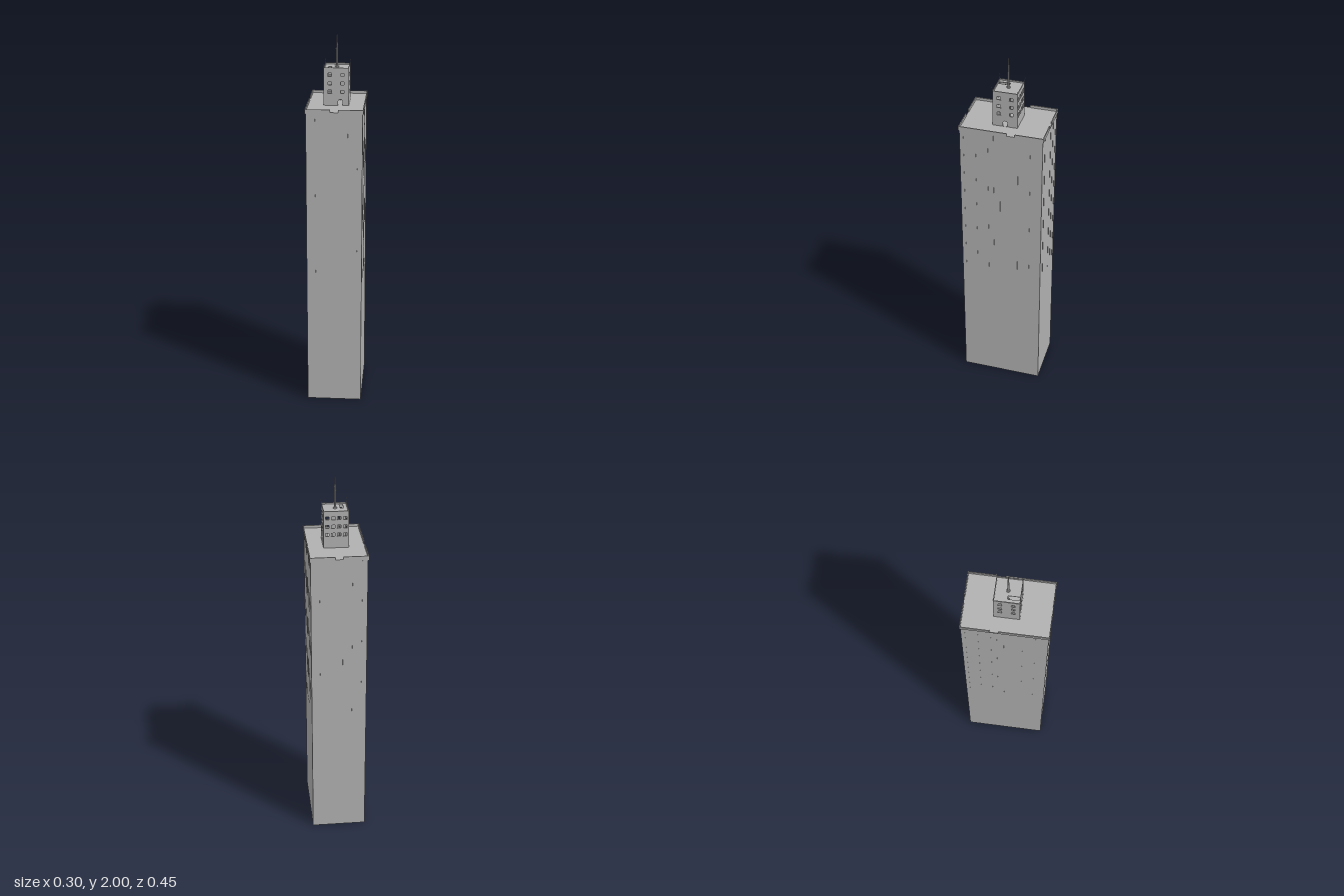
import * as THREE from 'three';

export function createModel() {
  const model = new THREE.Group();
  const concrete = new THREE.MeshStandardMaterial({ color: 0xb0b0b0, side: THREE.DoubleSide });
  concrete.name = 'concreteGrey';

  const add = (name, geometry, parent = model) => {
    const mesh = new THREE.Mesh(geometry, concrete);
    mesh.name = name;
    parent.add(mesh);
    return mesh;
  };
  // Box given by its lower and upper limits on each axis
  const box = (name, x0, x1, y0, y1, z0, z1, parent) => {
    const mesh = add(name, new THREE.BoxGeometry(x1 - x0, y1 - y0, z1 - z0), parent);
    mesh.position.set((x0 + x1) / 2, (y0 + y1) / 2, (z0 + z1) / 2);
    return mesh;
  };
  // Thin round rod between two points
  const rod = (name, a, b, r0, r1, parent) => {
    const from = new THREE.Vector3(...a), dir = new THREE.Vector3(...b).sub(from);
    const mesh = add(name, new THREE.CylinderGeometry(r1, r0, dir.length(), 8), parent);
    mesh.position.copy(from).addScaledVector(dir, 0.5);
    mesh.quaternion.setFromUnitVectors(new THREE.Vector3(0, 1, 0), dir.normalize());
  };
  const rectPath = (Type, x0, x1, y0, y1) => {
    const p = new Type();
    p.moveTo(x0, y0);
    p.lineTo(x1, y0);
    p.lineTo(x1, y1);
    p.lineTo(x0, y1);
    p.closePath();
    return p;
  };

  // Main shaft, hollow and open underneath
  const W = 0.147, D = 0.22, ROOF = 1.64;
  for (const s of [-1, 1]) {
    const face = add('towerFace', new THREE.PlaneGeometry(2 * W, ROOF));
    face.position.set(0, ROOF / 2, s * D);
    face.rotation.y = s > 0 ? 0 : Math.PI;
    const side = add('towerSide', new THREE.PlaneGeometry(2 * D, ROOF));
    side.position.set(s * W, ROOF / 2, 0);
    side.rotation.y = s * Math.PI / 2;
  }

  // Slim ribs on the upper part of each face
  for (const s of [-1, 1]) {
    for (const x of [-0.1, 0.02, 0.07, 0.12]) {
      const z = s * (D + 0.0005);
      box('faceRib', s * x - 0.001, s * x + 0.001, 0.7, 1.63, z - 0.0005, z + 0.0005);
    }
    for (const z of [0.2, 0.135, 0.07, 0.04, 0.005, -0.03, -0.09, -0.155]) {
      const x = s * (W + 0.0005);
      box('sideRib', x - 0.0005, x + 0.0005, 0.7, 1.63, s * z - 0.001, s * z + 0.001);
    }
  }

  // Roof slab and parapet with one gap in each side
  box('roofSlab', -0.151, 0.151, 1.63, ROOF, -0.2235, 0.2235);
  const PX = 0.152, PZ = 0.225, T = 0.005, TOP = 1.655;
  for (const s of [-1, 1]) {
    const zA = s > 0 ? PZ - T : -PZ, xA = s > 0 ? PX - T : -PX;
    box('endParapet', -PX, -0.02, 1.633, TOP, zA, zA + T);
    box('endParapet', 0.02, PX, 1.633, TOP, zA, zA + T);
    box('sideParapet', xA, xA + T, 1.633, TOP, -PZ + T, -0.075);
    box('sideParapet', xA, xA + T, 1.633, TOP, -0.032, PZ - T);
  }

  // Penthouse walls with window and door openings
  const penthouse = new THREE.Group();
  penthouse.name = 'penthouse';
  model.add(penthouse);
  const H = 0.066, HTOP = 1.84, WALL = 0.004;
  const walls = [
    { angle: 0, columns: [-0.033, 0.033], door: 0.022 },
    { angle: Math.PI / 2, columns: [-0.033, 0.033], door: 0 },
    { angle: Math.PI, columns: [-0.047, -0.016, 0.016, 0.047], door: null },
    { angle: -Math.PI / 2, columns: [-0.033, 0.033], door: null },
  ];
  for (const { angle, columns, door } of walls) {
    const wall = new THREE.Group();
    wall.name = 'penthouseWall';
    wall.rotation.y = angle;
    penthouse.add(wall);
    const shape = rectPath(THREE.Shape, -H, H, ROOF, HTOP);
    for (const x of columns) {
      for (const y of [1.713, 1.757, 1.803]) {
        shape.holes.push(rectPath(THREE.Path, x - 0.009, x + 0.009, y - 0.008, y + 0.008));
        box('windowSill', x - 0.011, x + 0.011, y - 0.011, y - 0.008, H, H + 0.002, wall);
      }
    }
    if (door !== null) {
      const arch = new THREE.Path();
      arch.moveTo(door - 0.012, ROOF + 0.001);
      arch.lineTo(door + 0.012, ROOF + 0.001);
      arch.lineTo(door + 0.012, 1.66);
      arch.absarc(door, 1.66, 0.012, 0, Math.PI, false);
      arch.closePath();
      shape.holes.push(arch);
    }
    const geometry = new THREE.ExtrudeGeometry(shape, { depth: WALL, bevelEnabled: false, curveSegments: 8 });
    add('wallPanel', geometry, wall).position.z = H - WALL;
  }

  // Penthouse roof with a stair hatch
  const deck = rectPath(THREE.Shape, -H + WALL, H - WALL, -H + WALL, H - WALL);
  deck.holes.push(rectPath(THREE.Path, -0.045, -0.027, -0.06, -0.002));
  const deckGeometry = new THREE.ExtrudeGeometry(deck, { depth: 0.004, bevelEnabled: false });
  deckGeometry.rotateX(-Math.PI / 2);
  add('penthouseRoof', deckGeometry, penthouse).position.y = 1.828;

  // Stairs below the hatch
  const STEPS = 11, run = 0.058 / STEPS;
  for (let i = 0; i < STEPS; i++) {
    const z = 0.002 + i * run, y = 1.825 - i * 0.0165;
    box('stairStep', -0.045, -0.027, ROOF, y, z, z + run, penthouse);
  }

  // Thin spikes leaning out from the corners
  for (const x of [-1, 1]) {
    for (const z of [-1, 1]) {
      rod('cornerSpike', [x * 0.064, 1.835, z * 0.064], [x * 0.069, 1.865, z * 0.069], 0.0014, 0.0005, penthouse);
    }
  }

  // Mast with stepped tube and small aerials
  const mast = new THREE.Group();
  mast.name = 'mast';
  model.add(mast);
  rod('mastBase', [0, 1.83, 0], [0, 1.838, 0], 0.01, 0.01, mast);
  rod('mastTube', [0, 1.838, 0], [0, 1.96, 0], 0.005, 0.004, mast);
  rod('mastTip', [0, 1.96, 0], [0, 2, 0], 0.003, 0.0015, mast);
  rod('aerial', [0, 1.925, 0], [-0.01, 1.927, 0], 0.001, 0.001, mast);
  rod('aerial', [0, 1.95, 0], [0.01, 1.952, 0], 0.001, 0.001, mast);

  return model;
}
